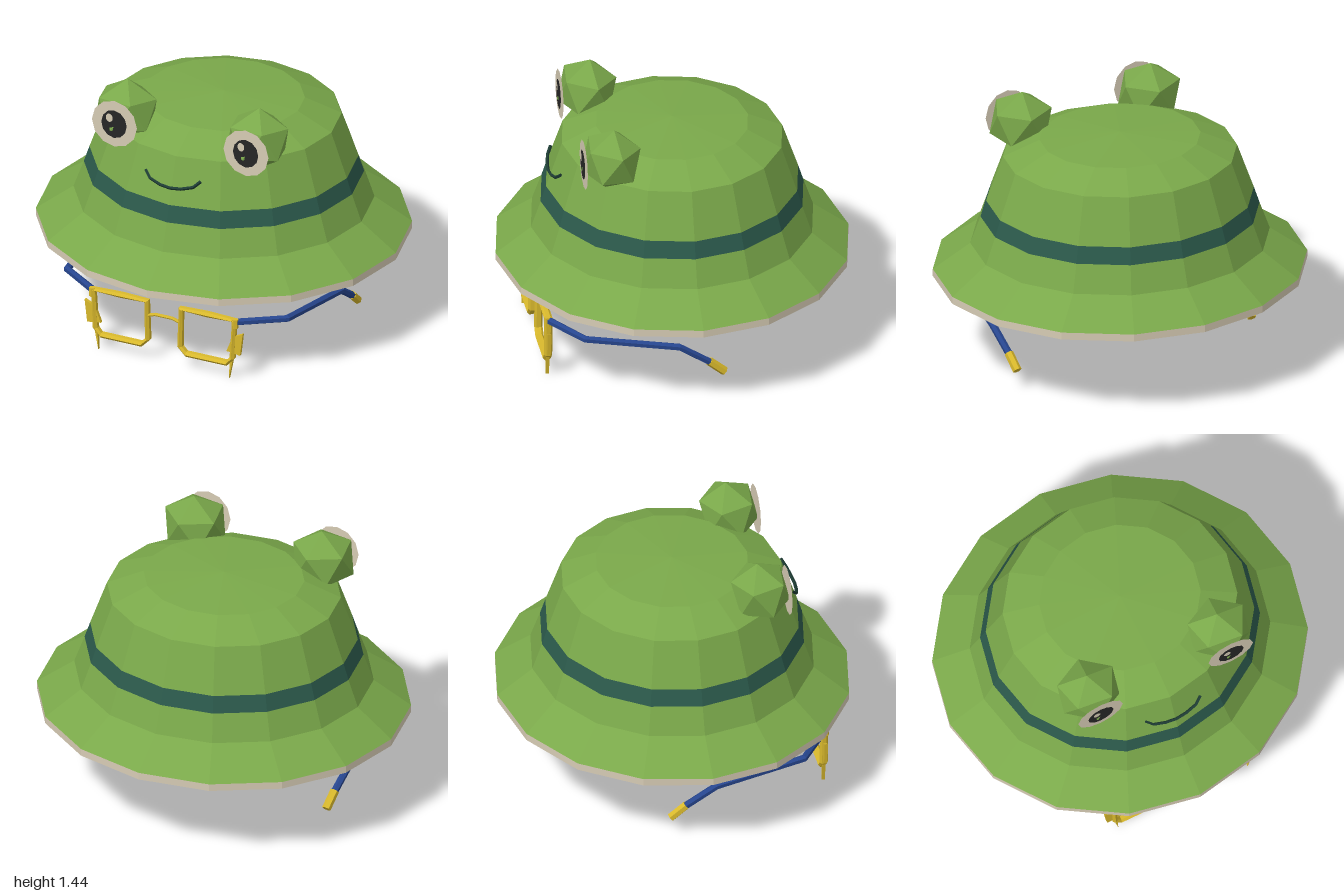
import * as THREE from 'three';

const paint = (name, color) => {
  const m = new THREE.MeshStandardMaterial({ color, side: THREE.DoubleSide });
  m.name = name;
  return m;
};
const V = (p) => new THREE.Vector3(...p);

// Polyline whose samples land exactly on its corners
class Polyline extends THREE.Curve {
  constructor(points) {
    super();
    this.points = points.map(V);
  }
  getUtoTmapping(u) { return u; }
  getPoint(t, target = new THREE.Vector3()) {
    const n = this.points.length - 1;
    const i = Math.min(Math.floor(t * n), n - 1);
    return target.lerpVectors(this.points[i], this.points[i + 1], t * n - i);
  }
}

// Faceted mesh
function part(name, geometry, material) {
  const g = geometry.index ? geometry.toNonIndexed() : geometry;
  g.computeVertexNormals();
  const mesh = new THREE.Mesh(g, material);
  mesh.name = name;
  return mesh;
}

const wire = (name, points, radius, material, closed = false, sides = 6) =>
  part(name, new THREE.TubeGeometry(new Polyline(points), points.length - 1, radius, sides, closed), material);

// Capped straight rod between two points
function rod(name, a, b, radius, material) {
  const from = V(a), dir = V(b).sub(from);
  const mesh = part(name, new THREE.CylinderGeometry(radius, radius, dir.length(), 6), material);
  mesh.position.copy(from).addScaledVector(dir, 0.5);
  mesh.quaternion.setFromUnitVectors(new THREE.Vector3(0, 1, 0), dir.normalize());
  return mesh;
}

export function createModel() {
  const green = paint('leaf green', 0x7aa84a);
  const teal = paint('band teal', 0x2b594b);
  const cream = paint('cream', 0xd6cbb4);
  const black = paint('pupil black', 0x262626);
  const gold = paint('gold', 0xd9b92c);
  const blue = paint('temple blue', 0x27468f);
  const mouthInk = paint('mouth ink', 0x1d3b33);

  const model = new THREE.Group();
  model.name = 'frogHatAndGlasses';

  // Hat: stacked sixteen-sided rings, slightly narrower front to back
  const hat = new THREE.Group();
  hat.name = 'hat';
  model.add(hat);
  const ring = (name, profile, material) => {
    const g = new THREE.LatheGeometry(profile.map(([r, y]) => new THREE.Vector2(r, y)), 16);
    g.scale(1, 1, 0.94);
    hat.add(part(name, g, material));
  };
  ring('brimUnderside', [[0.8, 0.68], [1, 0.5]], green);
  ring('brimEdge', [[1, 0.5], [1, 0.54]], cream);
  ring('brim', [[1, 0.54], [0.8, 0.68], [0.745, 0.83]], green);
  ring('band', [[0.745, 0.83], [0.715, 0.92]], teal);
  ring('crown', [[0.715, 0.92], [0.625, 1.17], [0.43, 1.255], [0.0001, 1.28]], green);

  // Smile
  hat.add(wire('mouth', [
    [-0.16, 1.07, 0.62], [-0.125, 1.038, 0.642], [-0.06, 1.02, 0.655], [0, 1.015, 0.66],
    [0.06, 1.02, 0.655], [0.125, 1.038, 0.642], [0.16, 1.07, 0.62],
  ], 0.009, mouthInk, false, 4));

  // Eyes: faceted bulbs with flat discs in front
  for (const s of [-1, 1]) {
    const eye = new THREE.Group();
    eye.name = s > 0 ? 'leftEye' : 'rightEye';
    const ball = new THREE.IcosahedronGeometry(0.172, 0);
    ball.rotateZ(-Math.atan(2 / (1 + Math.sqrt(5))));
    ball.rotateY(0.2);
    ball.scale(1.06, 1, 0.97);
    ball.rotateX(-0.1);
    const bulb = part('eyeBulb', ball, green);
    bulb.position.set(0, 1.27, 0.39);
    eye.add(bulb);
    const disc = (name, radius, x, y, z, sx, material) => {
      const g = new THREE.CircleGeometry(radius, 12);
      g.scale(sx, 1, 1);
      const mesh = part(name, g, material);
      mesh.position.set(x, y, z);
      eye.add(mesh);
    };
    disc('eyeWhite', 0.135, 0, 1.25, 0.535, 0.97, cream);
    disc('pupil', 0.082, 0, 1.25, 0.54, 0.9, black);
    disc('glint', 0.025, -0.025, 1.285, 0.545, 0.8, cream);
    eye.position.x = s * 0.383;
    hat.add(eye);
  }

  // Glasses
  const glasses = new THREE.Group();
  glasses.name = 'glasses';
  model.add(glasses);
  glasses.add(wire('bridge', [
    [-0.1, 0.27, 0.735], [-0.05, 0.287, 0.735], [0.05, 0.287, 0.735], [0.1, 0.27, 0.735],
  ], 0.009, gold));

  for (const s of [-1, 1]) {
    const side = s > 0 ? 'left' : 'right';
    const at = (x, y, z) => [s * x, y, z];

    // Squared rim with clipped lower corners, started mid-edge so the loop closes cleanly
    const rim = wire(side + 'Rim', [
      [0.25, 0.355], [0.41, 0.355], [0.398, 0.13], [0.365, 0.092],
      [0.13, 0.092], [0.094, 0.13], [0.1, 0.355], [0.25, 0.355],
    ].map(([x, y]) => at(x, y, 0)), 0.016, gold, true);
    rim.scale.z = 1.4;
    rim.position.z = 0.728;
    glasses.add(rim);

    // Jagged bolt ornament beside the rim
    const bolt = new THREE.Shape([
      [0.46, 0.285], [0.4, 0.255], [0.365, 0.165], [0.387, 0.165],
      [0.38, 0.005], [0.41, 0.16], [0.445, 0.155],
    ].map(([x, y]) => new THREE.Vector2(s * x, y)));
    const boltMesh = part(side + 'Bolt',
      new THREE.ExtrudeGeometry(bolt, { depth: 0.018, bevelEnabled: false }), gold);
    boltMesh.position.z = 0.72;
    glasses.add(boltMesh);

    // Hinge, temple arm and ear tip
    glasses.add(rod(side + 'Hinge', at(0.415, 0.315, 0.735), at(0.415, 0.365, 0.735), 0.018, gold));
    glasses.add(wire(side + 'Temple', [
      at(0.41, 0.345, 0.73), at(0.64, 0.342, 0.57), at(0.72, 0.293, 0.08), at(0.705, 0.17, -0.1),
    ], 0.02, blue));
    glasses.add(rod(side + 'EarTip', at(0.706, 0.185, -0.08), at(0.7, 0.115, -0.162), 0.024, gold));
  }
  return model;
}
